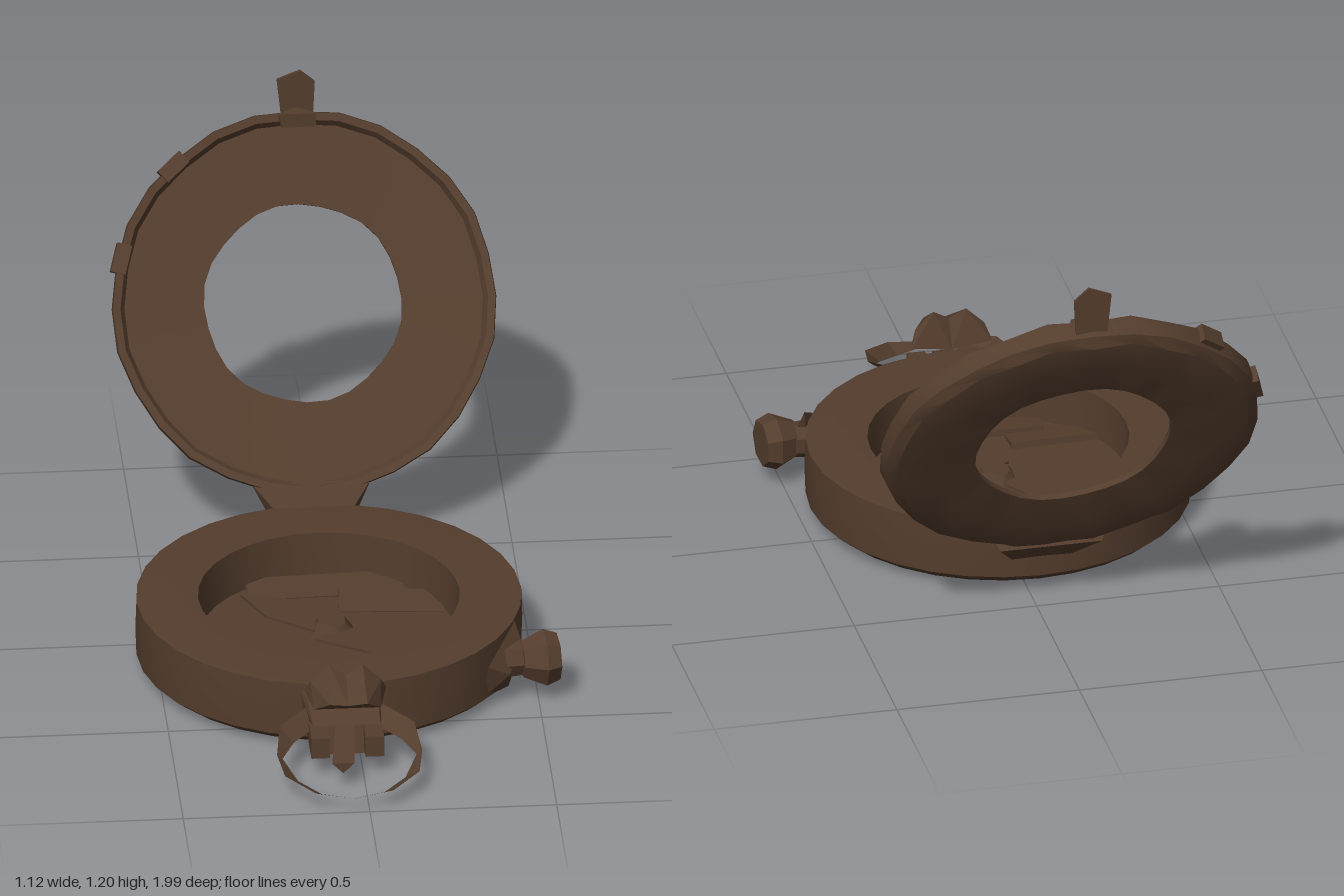
import * as THREE from 'three';
import { toCreasedNormals } from 'three/addons/utils/BufferGeometryUtils.js';
import { ConvexGeometry } from 'three/addons/geometries/ConvexGeometry.js';

const CX = -0.04, CZ = 0.12; // centre of the case

export function createModel() {
  const model = new THREE.Group();
  const bronze = new THREE.MeshStandardMaterial({ color: 0x543d2d, side: THREE.DoubleSide });
  bronze.name = 'dark bronze';

  const add = (name, geometry, x = 0, y = 0, z = 0) => {
    const mesh = new THREE.Mesh(geometry, bronze);
    mesh.name = name;
    mesh.position.set(x, y, z);
    model.add(mesh);
    return mesh;
  };
  const lathe = (pts, segments) =>
    new THREE.LatheGeometry(pts.map(([r, y]) => new THREE.Vector2(r, y)), segments);
  const hull = (name, pts) =>
    add(name, new ConvexGeometry(pts.map((p) => new THREE.Vector3(...p))));
  // thin plate lying flat, outlined in x and z
  const flatPlate = (name, outline, y, thickness) => {
    const shape = new THREE.Shape(outline.map(([x, z]) => new THREE.Vector2(x, -z)));
    const g = new THREE.ExtrudeGeometry(shape, { depth: thickness, bevelEnabled: false });
    return add(name, g.rotateX(-Math.PI / 2), 0, y, 0);
  };

  // round case with chamfered bottom and a sunken dial
  const body = lathe([[0, 0.005], [0.44, 0.005], [0.485, 0.015], [0.515, 0.04], [0.518, 0.12],
    [0.515, 0.198], [0.5, 0.2], [0.35, 0.2], [0.345, 0.075], [0, 0.075]], 32);
  add('case', toCreasedNormals(body, 0.6), CX, 0, CZ);

  // open lid ring: thin plate with a raised, slightly hammered lip
  const ring = lathe([[0.265, -0.03], [0.38, -0.038], [0.48, -0.033], [0.508, -0.015],
    [0.515, 0.02], [0.512, 0.036], [0.492, 0.032], [0.48, 0.006], [0.38, -0.002], [0.265, -0.014], [0.265, -0.03]], 28);
  const p = ring.attributes.position;
  for (let i = 0; i < p.count; i++) {
    const x = p.getX(i), y = p.getY(i), z = p.getZ(i);
    const a = Math.atan2(z, x), inner = Math.hypot(x, z) < 0.3;
    const k = 1 + (inner ? 0.012 * Math.sin(a * 6) : 0.006 * Math.sin(a * 9));
    const wave = y > 0.015 || y < -0.03 ? 0.006 * Math.sin(a * 13) : 0;
    p.setXYZ(i, x * k, y + wave, z * k);
  }
  const lid = add('lid', toCreasedNormals(ring, 0.5), CX, 0.63, -0.73);
  lid.rotation.x = Math.PI / 3;

  // upright tab on the lid
  const tab = new THREE.Shape([[-0.08, 1.06], [0.005, 1.06], [0.01, 1.165], [-0.03, 1.2],
    [-0.092, 1.175]].map(([x, y]) => new THREE.Vector2(x, y)));
  add('lidTab', new THREE.ExtrudeGeometry(tab, { depth: 0.008, bevelEnabled: false }), 0, 0, -0.985);
  hull('lidCatch', [[-0.08, 1.05, -0.94], [0.01, 1.05, -0.94], [-0.09, 1.09, -0.94],
    [0.01, 1.09, -0.94], [-0.09, 1.04, -0.98], [0.01, 1.04, -0.98], [-0.04, 1.09, -0.985]]);

  // small lugs on the lid rim
  for (const a of [2.3, 2.87]) {
    const lug = new THREE.Mesh(new THREE.BoxGeometry(0.04, 0.05, 0.08), bronze);
    lug.name = 'rimLug';
    lug.position.set(0.503 * Math.cos(a), 0.02, -0.503 * Math.sin(a));
    lug.rotation.y = a;
    lid.add(lug);
  }

  // hinge joining lid and case
  hull('hinge', [[-0.14, 0.195, -0.36], [0.06, 0.195, -0.36], [-0.12, 0.09, -0.385], [0.04, 0.09, -0.385],
    [-0.2, 0.225, -0.475], [0.12, 0.225, -0.475], [-0.18, 0.18, -0.5], [0.1, 0.18, -0.5]]);

  // winding crown on the side
  const stem = add('crownStem', toCreasedNormals(new THREE.CylinderGeometry(0.045, 0.055, 0.1, 7), 0.4), 0.44, 0.12, 0.37);
  stem.rotation.z = -Math.PI / 2;
  const knob = lathe([[0, -0.05], [0.05, -0.05], [0.078, 0.01], [0.064, 0.048], [0, 0.048]], 7);
  const crown = add('crown', toCreasedNormals(knob, 0.4), 0.505, 0.12, 0.375);
  crown.rotation.set(0, 0.12, -Math.PI / 2);
  hull('crownGuard', [[0.35, 0.04, 0.44], [0.42, 0.04, 0.38], [0.44, 0.215, 0.34],
    [0.46, 0.15, 0.36], [0.36, 0.14, 0.46], [0.42, 0.1, 0.43]]);

  // pendant knuckle, upper latch and stub at the front
  hull('pendant', [[-0.16, 0.18, 0.6], [0.06, 0.18, 0.6], [-0.15, 0.05, 0.6], [0.07, 0.05, 0.6],
    [-0.14, 0.17, 0.66], [0.05, 0.17, 0.66],
    [-0.13, 0.12, 0.72], [0.05, 0.12, 0.72], [-0.1, 0.045, 0.74], [0.03, 0.045, 0.74]]);
  for (const x of [-0.115, 0.03])
    add('pendantEar', new THREE.BoxGeometry(0.05, 0.06, 0.1), x, 0.09, 0.74);
  for (const s of [-1, 1])
    hull('latch', [[CX + s * 0.11, 0.2, 0.66], [CX, 0.185, 0.66], [CX + s * 0.045, 0.288, 0.69],
      [CX, 0.26, 0.7], [CX + s * 0.095, 0.24, 0.69], [CX + s * 0.05, 0.22, 0.79], [CX, 0.215, 0.79],
      [CX + s * 0.09, 0.182, 0.74], [CX, 0.182, 0.74]]);
  hull('stub', [[-0.07, 0.12, 0.72], [-0.02, 0.12, 0.72], [-0.09, 0.08, 0.86], [-0.03, 0.08, 0.86],
    [-0.07, 0.06, 0.72], [-0.02, 0.06, 0.72], [-0.06, 0.05, 0.86]]);

  // carrying bow: a sloping ribbon loop of uneven width
  const verts = [], index = [], n = 12;
  for (let i = 0; i <= n; i++) {
    const a = (i / n) * Math.PI * 2, w = i % 3 === 0 ? 0.015 : 0.042;
    for (const s of [-1, 1]) {
      const z = 0.82 + (0.165 + s * w * 0.5) * Math.sin(a);
      verts.push(CX + (0.187 + s * w * 0.5) * Math.cos(a), 0.085 - (z - 0.82) * 0.28 + s * w * 0.4, z);
    }
    if (i < n) index.push(2 * i, 2 * i + 2, 2 * i + 1, 2 * i + 1, 2 * i + 2, 2 * i + 3);
  }
  const bow = new THREE.BufferGeometry();
  bow.setAttribute('position', new THREE.Float32BufferAttribute(verts, 3));
  bow.setIndex(index);
  const flatBow = bow.toNonIndexed();
  flatBow.computeVertexNormals();
  add('bow', flatBow);

  // needle, hub and low tilted slats on the dial
  flatPlate('needleTail', [[-0.26, -0.1], [-0.1, -0.05], [-0.02, 0.08], [-0.08, 0.12], [-0.2, 0.03]], 0.085, 0.008);
  flatPlate('needlePoint', [[-0.08, 0.17], [0.0, 0.1], [0.1, 0.18], [0.17, 0.32]], 0.085, 0.008);
  add('hub', new THREE.CylinderGeometry(0.04, 0.07, 0.04, 6).toNonIndexed(), -0.03, 0.09, 0.1);
  for (const [x, z, w, t] of [[-0.03, -0.15, 0.42, 0.03], [0.14, -0.05, 0.28, -0.06], [-0.23, 0.32, 0.24, 0.02], [-0.06, 0.4, 0.32, -0.04]]) {
    const slat = add('dialSlat', new THREE.BoxGeometry(w, 0.02, 0.1), x, 0.075, z);
    slat.rotation.set(0.15, t, 0);
  }
  return model;
}
